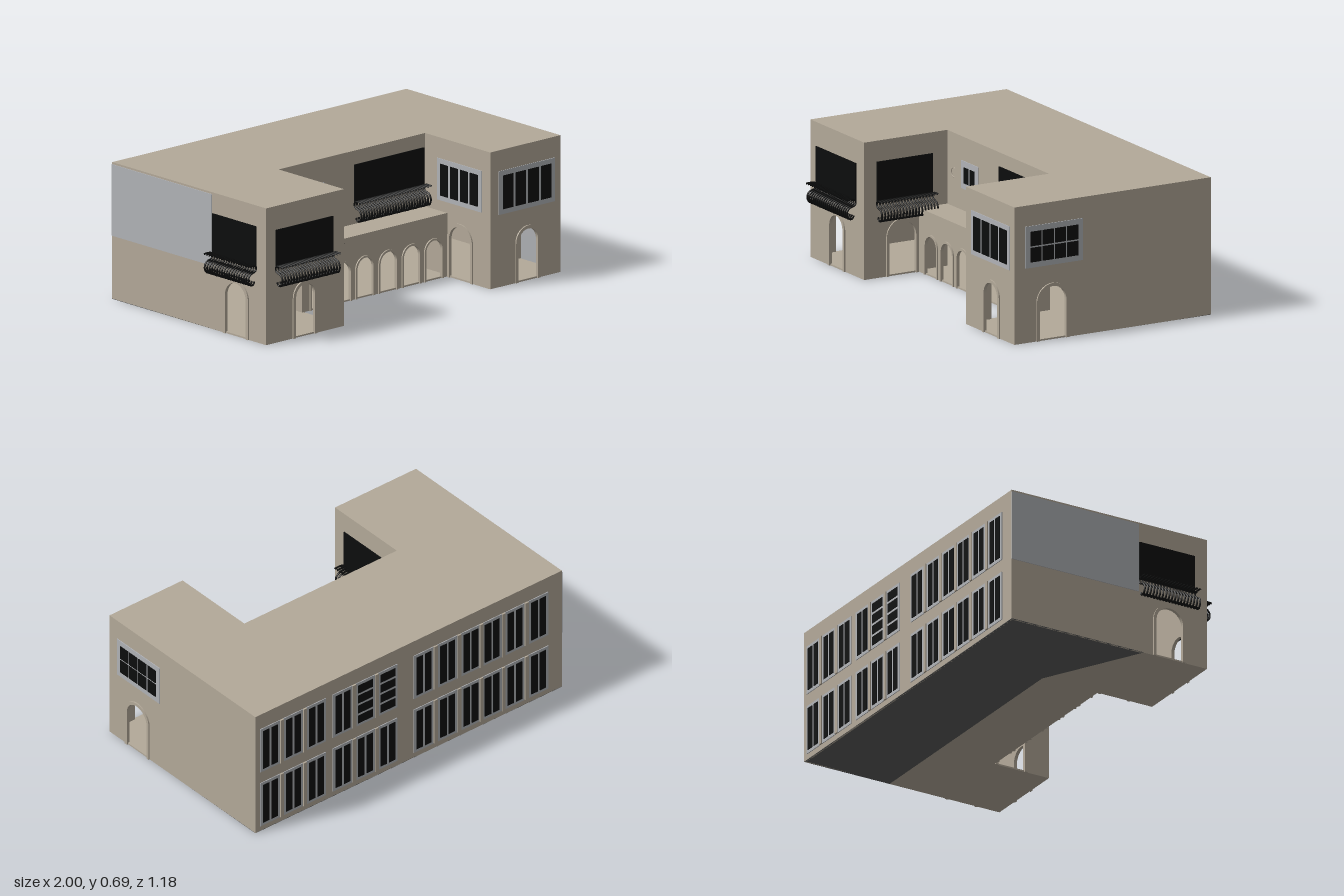
import * as THREE from 'three';

const mat = (name, color, side = THREE.FrontSide) => {
  const m = new THREE.MeshStandardMaterial({ color, side });
  m.name = name;
  return m;
};
const stone = mat('stone', 0xb3a999);
const grey = mat('window grey', 0xb1b3b7);
const black = mat('iron black', 0x0c0d0d);
const orange = mat('door orange', 0xa85c38);
const slate = mat('floor slate', 0x5a5a5a);

const X0 = -0.94, X1 = 0.99, Z0 = -0.59, Z1 = 0.52, H = 0.69;
const IN0 = -0.43, IN1 = 0.53;   // courtyard sides
const ZC = 0.05, ZA = 0.21;      // upper court wall, arcade front
const T = 0.01;                  // wall thickness

function mesh(parent, name, geo, material) {
  const m = new THREE.Mesh(geo, material);
  m.name = name;
  parent.add(m);
  return m;
}

// Box given by its limits
function box(parent, name, m, x0, x1, y0, y1, z0, z1) {
  mesh(parent, name, new THREE.BoxGeometry(x1 - x0, y1 - y0, z1 - z0), m)
    .position.set((x0 + x1) / 2, (y0 + y1) / 2, (z0 + z1) / 2);
}

// Horizontal slab from x, z corner points; its top lies at y
function slab(parent, name, m, pts, y, depth) {
  const shape = new THREE.Shape(pts.map(p => new THREE.Vector2(...p)));
  const s = mesh(parent, name, new THREE.ExtrudeGeometry(shape, { depth, bevelEnabled: false }), m);
  s.rotation.x = Math.PI / 2;
  s.position.y = y;
}

// A facade group: local x along the wall, y up, z outward
function facade(root, name, x, z, turn) {
  const g = new THREE.Group();
  g.name = name;
  g.position.set(x, 0, z);
  g.rotation.y = turn;
  root.add(g);
  return g;
}

// Wall with arched openings [left, right, top] cut from its foot, each with a moulding
function wall(g, u0, u1, h0, h1, arches = [], trim = 0.016) {
  const s = new THREE.Shape();
  s.moveTo(u0, h0);
  for (const [a, b, top] of arches) {
    const r = (b - a) / 2;
    s.lineTo(a, h0);
    s.lineTo(a, top - r);
    s.absarc((a + b) / 2, top - r, r, Math.PI, 0, true);
    s.lineTo(b, h0);
  }
  s.lineTo(u1, h0);
  s.lineTo(u1, h1);
  s.lineTo(u0, h1);
  mesh(g, 'wall', new THREE.ExtrudeGeometry(s, { depth: T, bevelEnabled: false, curveSegments: 16 }), stone)
    .position.z = -T;

  for (const [a, b, top] of arches) {
    const r = (b - a) / 2, c = (a + b) / 2, y = top - r;
    const k = new THREE.Shape();
    k.moveTo(a - trim, h0);
    k.lineTo(a - trim, y);
    k.absarc(c, y, r + trim, Math.PI, 0, true);
    k.lineTo(b + trim, h0);
    k.lineTo(b, h0);
    k.lineTo(b, y);
    k.absarc(c, y, r, 0, Math.PI, false);
    k.lineTo(a, h0);
    mesh(g, 'archMoulding', new THREE.ExtrudeGeometry(k, { depth: 0.007, bevelEnabled: false, curveSegments: 16 }), stone);
  }
}

// Grey window plate with a grid of black panes inside the given margins
function windowPlate(g, u0, u1, h0, h1, cols, rows, margin = 0.025, gap = 0.016, z = 0) {
  box(g, 'windowFrame', grey, u0, u1, h0, h1, z, z + 0.004);
  const w = (u1 - u0 - 2 * margin + gap) / cols, h = (h1 - h0 - 2 * margin + gap) / rows;
  for (let i = 0; i < cols; i++) for (let j = 0; j < rows; j++) {
    const a = u0 + margin + i * w, b = h0 + margin + j * h;
    box(g, 'windowPane', black, a, a + w - gap, b, b + h - gap, z, z + 0.007);
  }
}

// Scrolled balcony bars in front of a tall black window
const scroll = [[0.062, 0.39], [0.025, 0.391], [0.006, 0.385], [0.003, 0.367], [0.014, 0.357], [0.04, 0.348],
  [0.052, 0.33], [0.051, 0.308], [0.038, 0.293], [0.02, 0.296], [0.016, 0.31]];
function balcony(g, u0, u1, top, bars, lift = 0) {
  box(g, 'balconyWindow', black, u0 + 0.005, u1 - 0.005, 0.385 + lift, top, 0, 0.006);
  const curve = new THREE.CatmullRomCurve3(scroll.map(([z, y]) => new THREE.Vector3(0, y + lift, z)));
  const geo = new THREE.TubeGeometry(curve, 24, 0.005, 5);
  for (let i = 0; i < bars; i++) {
    mesh(g, 'balconyBar', geo, black).position.x = u0 + 0.005 + (u1 - u0 - 0.01) * i / (bars - 1);
  }
  box(g, 'balconyRail', black, u0, u1, 0.383 + lift, 0.391 + lift, 0.012, 0.02);
  box(g, 'balconyFoot', black, u0, u1, 0.29 + lift, 0.298 + lift, 0.03, 0.04);
}

export function createModel() {
  const root = new THREE.Group();
  root.name = 'courtyardBuilding';

  // Roofs and floors
  slab(root, 'roof', stone, [[X0, Z0], [X1, Z0], [X1, Z1], [IN1, Z1], [IN1, ZC], [IN0, ZC], [IN0, Z1], [X0, Z1]], H, T);
  box(root, 'arcadeRoof', stone, IN0, IN1, 0.31, 0.32, ZC - T, ZA);
  slab(root, 'floor', stone, [[X0, Z0], [X1, Z0], [X1, Z1], [IN1, Z1], [IN1, ZA], [IN0, ZA], [IN0, Z1], [X0, Z1]], 0.008, 0.006);
  slab(root, 'floorUnderside', stone, [[X1, -0.105], [X1, Z1], [IN1, Z1], [IN1, ZA], [IN0, ZA], [IN0, Z1], [X0, Z1],
    [X0, 0.16], [IN0, -0.105]], 0.002, 0.002);
  slab(root, 'slateUnderside', slate, [[X0, Z0], [X1, Z0], [X1, -0.105], [IN0, -0.105], [X0, 0.16]], 0.002, 0.002);

  // Wing fronts
  const leftFront = facade(root, 'westWingFront', 0, Z1, 0);
  wall(leftFront, X0, IN0, 0, H, [[-0.75, -0.625, 0.265]]);
  balcony(leftFront, -0.885, -0.5, 0.57, 21);
  const rightFront = facade(root, 'eastWingFront', 0, Z1, 0);
  wall(rightFront, IN1, X1, 0, H, [[0.71, 0.838, 0.262]]);
  windowPlate(rightFront, 0.585, 0.95, 0.365, 0.585, 4, 1);

  // Outer sides and courtyard sides of the wings
  const east = facade(root, 'eastSide', X1, 0, Math.PI / 2);
  wall(east, -Z1, -Z0, 0, H, [[-0.38, -0.23, 0.268]]);
  windowPlate(east, -0.46, -0.135, 0.375, 0.585, 4, 2, 0.028, 0.008);
  const west = facade(root, 'westSide', X0, 0, -Math.PI / 2);
  wall(west, Z0, Z1, 0, H, [[0.23, 0.38, 0.268]]);
  balcony(west, 0.13, 0.455, 0.585, 19);
  box(west, 'greyPanel', grey, Z0, 0.13, 0.32, 0.68, 0, 0.004);
  const courtWest = facade(root, 'courtWestSide', IN0, 0, Math.PI / 2);
  wall(courtWest, -Z1, -ZC, 0, H, [[-0.38, -0.23, 0.268]]);
  balcony(courtWest, -0.455, -0.13, 0.585, 19);
  const courtEast = facade(root, 'courtEastSide', IN1, 0, -Math.PI / 2);
  wall(courtEast, ZC, Z1, 0, H, [[0.23, 0.38, 0.268]]);
  windowPlate(courtEast, 0.14, 0.46, 0.375, 0.585, 4, 1);

  // Upper court wall with small window, wall scrolls and balcony
  const court = facade(root, 'courtWall', 0, ZC, 0);
  wall(court, IN0, IN1, 0.31, H);
  windowPlate(court, -0.295, -0.135, 0.43, 0.57, 2, 1, 0.03, 0.014);
  balcony(court, 0.06, 0.525, 0.62, 27, 0.045);
  const curl = new THREE.TorusGeometry(0.024, 0.003, 6, 16, Math.PI * 1.3);
  for (const [x, s] of [[-0.365, 1], [-0.06, 0.5]]) {
    const c = mesh(court, 'wallScroll', curl, stone);
    c.position.set(x, 0.492, 0.002);
    c.rotation.z = 0.9;
    c.scale.set(s, s, 1);
  }
  box(court, 'wallLamp', black, -0.066, -0.052, 0.487, 0.5, 0, 0.006);

  // Arcade with six arches
  const arcade = facade(root, 'arcade', 0, ZA, 0);
  const bays = [-0.312, -0.162, -0.012, 0.14, 0.293, 0.44];
  wall(arcade, IN0, IN1, 0, 0.32, bays.map(c => [c - 0.053, c + 0.053, 0.2]), 0.01);

  // Back wall: two rows of twelve windows with slim piers
  const back = facade(root, 'back', 0, Z0, Math.PI);
  wall(back, -X1, -X0, 0, H);
  const centres = [-0.9, -0.755, -0.61, -0.443, -0.3, -0.16, 0.067, 0.217, 0.362, 0.497, 0.64, 0.79];
  for (const base of [0.03, 0.35]) {
    centres.forEach((c, i) => {
      const slatted = base > 0.1 && (i === 4 || i === 5);
      windowPlate(back, c - 0.062, c + 0.062, base, base + 0.255, slatted ? 1 : 2, slatted ? 4 : 1, 0.016, 0.014);
      if (i % 6 < 5 && i !== 2) {
        const m = (c + centres[i + 1]) / 2;
        box(back, 'pier', stone, m - 0.01, m + 0.01, base, base + 0.255, 0, 0.009);
      }
    });
  }

  // Inner face of the back wall: windows behind the arcade, doors behind the wings
  const inner = facade(root, 'innerBack', 0, Z0 + T, 0);
  for (const c of bays) windowPlate(inner, c - 0.06, c + 0.06, 0.01, 0.21, 2, 1, 0.018, 0.01);
  box(inner, 'door', orange, -0.76, -0.625, 0.008, 0.25, 0, 0.006);
  box(inner, 'door', orange, 0.705, 0.845, 0.008, 0.27, 0, 0.006);

  return root;
}
